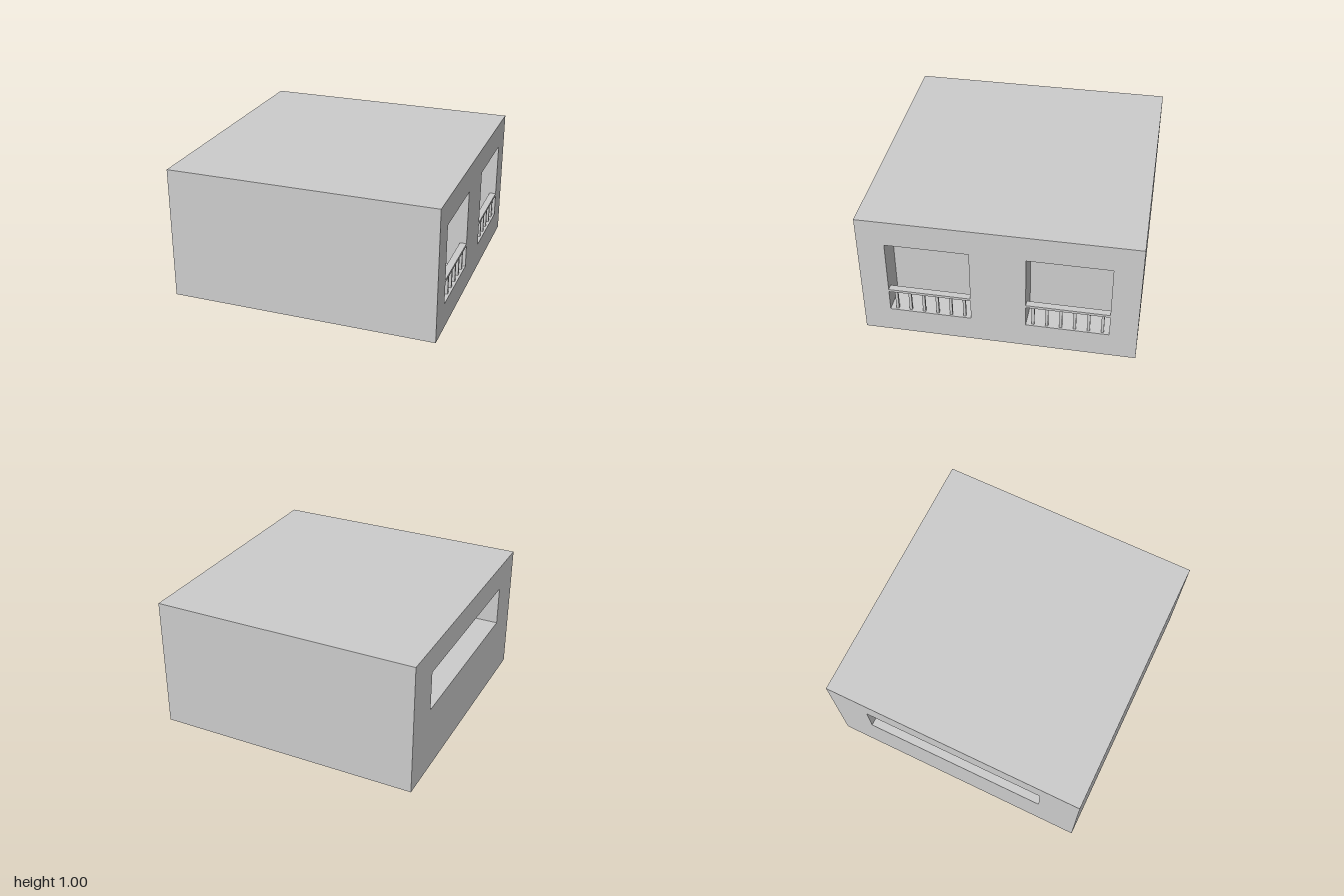
import * as THREE from 'three';

const concrete = new THREE.MeshStandardMaterial({ color: 0xcccccc });
concrete.name = 'concrete grey';

// Face numbers of a BoxGeometry
const PX = 0, NX = 1, PY = 2, NY = 3, PZ = 4, NZ = 5;
const ALL = [PX, NX, PY, NY, PZ, NZ];

// Box between two corners, keeping only the listed faces; inward turns the faces to look inside
function block(name, [x0, y0, z0], [x1, y1, z1], faces = ALL, inward = false) {
  const geo = new THREE.BoxGeometry(x1 - x0, y1 - y0, z1 - z0);
  const source = Array.from(geo.index.array);
  const index = faces.flatMap((f) => source.slice(f * 6, f * 6 + 6));
  if (inward) {
    index.reverse();
    const n = geo.attributes.normal;
    for (let i = 0; i < n.array.length; i++) n.array[i] *= -1;
  }
  geo.setIndex(index);
  geo.clearGroups();
  geo.translate((x0 + x1) / 2, (y0 + y1) / 2, (z0 + z1) / 2);
  const mesh = new THREE.Mesh(geo, concrete);
  mesh.name = name;
  return mesh;
}

// Side wall at x = side, with rectangular openings given as [z0, z1, y0, y1]
function sideWall(name, side, openings) {
  const rect = (Type, a0, a1, y0, y1) => {
    const path = new Type();
    path.moveTo(a0, y0).lineTo(a1, y0).lineTo(a1, y1).lineTo(a0, y1).closePath();
    return path;
  };
  const shape = rect(THREE.Shape, -1, 1, 0, 1);
  for (const [z0, z1, y0, y1] of openings) {
    shape.holes.push(rect(THREE.Path, -side * z1, -side * z0, y0, y1));
  }
  const geo = new THREE.ShapeGeometry(shape);
  geo.rotateY(side * Math.PI / 2);
  geo.translate(side, 0, 0);
  const mesh = new THREE.Mesh(geo, concrete);
  mesh.name = name;
  return mesh;
}

// Recessed balcony on the left side, with handrail and balusters
function balcony(name, z0, z1) {
  const group = new THREE.Group();
  group.name = name;
  group.add(block('recess', [0.8, 0.2, z0], [1, 0.8, z1], [NX, PY, NY, PZ, NZ], true));
  group.add(block('handrail', [0.95, 0.367, z0], [1, 0.387, z1]));
  for (let i = 0; i < 6; i++) {
    const z = z0 + 0.05 + i * 0.1;
    group.add(block('baluster', [0.965, 0.2, z - 0.01], [0.985, 0.367, z + 0.01], [PX, NX, PZ, NZ]));
  }
  return group;
}

export function createModel() {
  const model = new THREE.Group();
  model.name = 'building';

  // Roof, base, front and back
  model.add(block('shell', [-1, 0, -1], [1, 1, 1], [PY, NY, PZ, NZ]));

  // Left wall with two balconies
  model.add(sideWall('leftWall', 1, [[0.2, 0.8, 0.2, 0.8], [-0.8, -0.2, 0.2, 0.8]]));
  model.add(balcony('frontBalcony', 0.2, 0.8));
  model.add(balcony('backBalcony', -0.8, -0.2));

  // Right wall with a long terrace behind a solid parapet
  model.add(sideWall('rightWall', -1, [[-0.7, 0.7, 0.5, 0.8]]));
  model.add(block('terraceRecess', [-1, 0.2, -0.7], [-0.6, 0.8, 0.7], [PX, PY, NY, PZ, NZ], true));
  model.add(block('parapet', [-1, 0.2, -0.7], [-0.8, 0.5, 0.7], [PX, PY]));

  return model;
}
